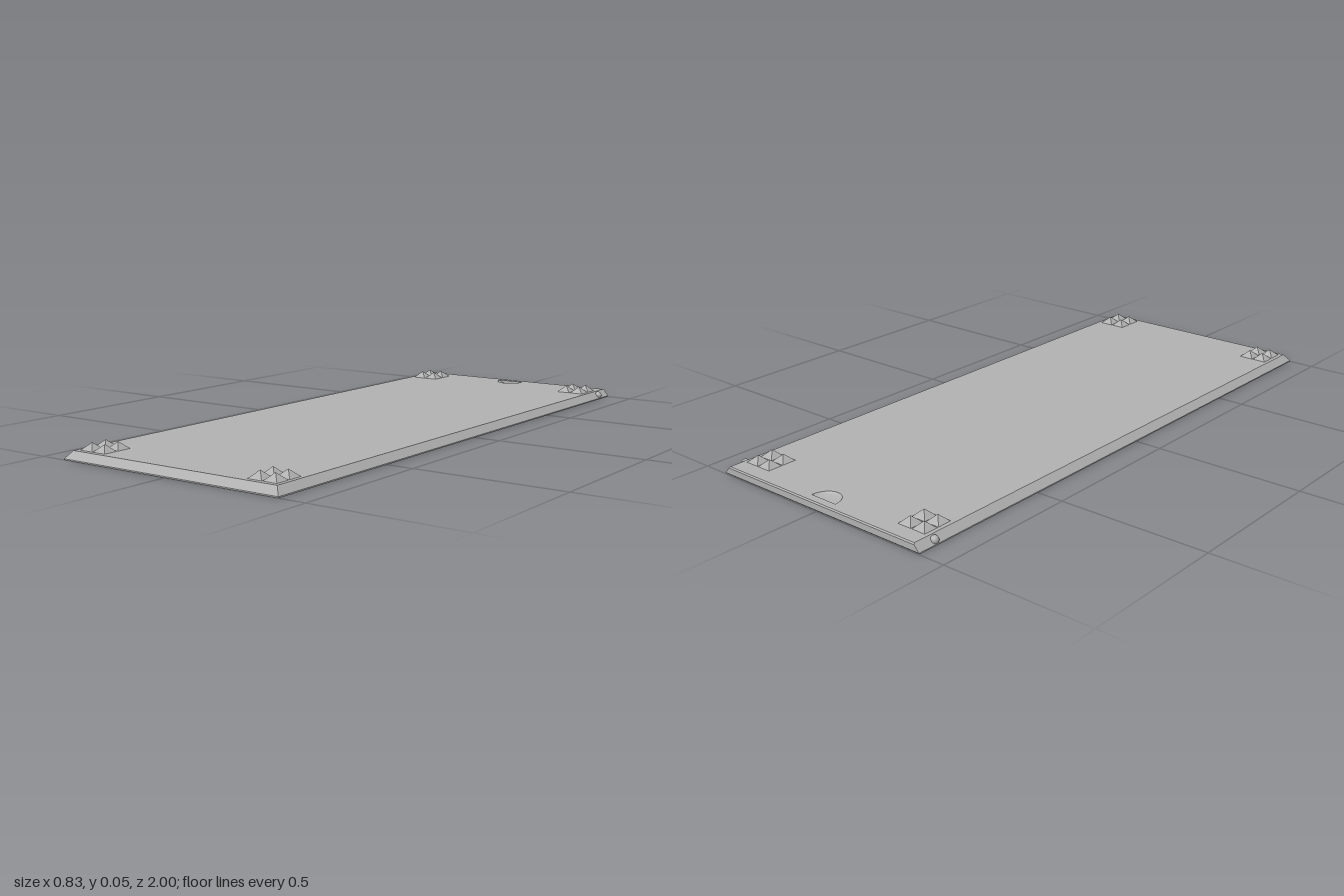
import * as THREE from 'three';
import { mergeGeometries } from 'three/addons/utils/BufferGeometryUtils.js';

const TOP = 0.028;

// Non-indexed copy with one normal per face
function faceted(geometry) {
  const g = geometry.index ? geometry.toNonIndexed() : geometry;
  g.computeVertexNormals();
  return g;
}

const path = pts => pts.map(([x, y]) => new THREE.Vector2(x, y));
const range = (n, fn) => Array.from({ length: n }, (_, i) => fn(i));

// Skin through rectangular rings [halfWidth, zFront, zBack, y], bottom to top
function rimGeometry(rings) {
  const corners = rings.map(([w, f, b, y]) => [[-w, y, f], [w, y, f], [w, y, b], [-w, y, b]]);
  const pos = [];
  for (let r = 0; r < rings.length - 1; r++) {
    for (let i = 0; i < 4; i++) {
      const j = (i + 1) % 4;
      const [a, b, c, d] = [corners[r][i], corners[r][j], corners[r + 1][j], corners[r + 1][i]];
      pos.push(...a, ...b, ...c, ...a, ...c, ...d);
    }
  }
  const g = new THREE.BufferGeometry();
  g.setAttribute('position', new THREE.Float32BufferAttribute(pos, 3));
  return faceted(g);
}

export function createModel() {
  const group = new THREE.Group();
  const grey = new THREE.MeshStandardMaterial({ color: 0xb0b0b0 });
  grey.name = 'grey';
  const add = (name, geometry, x = 0, y = 0, z = 0) => {
    const mesh = new THREE.Mesh(geometry, grey);
    mesh.name = name;
    mesh.position.set(x, y, z);
    group.add(mesh);
    return mesh;
  };

  // Bevelled rim: wide slope on the sides and front, small chamfers at the back
  add('rim', rimGeometry([
    [0.41, 1, -0.996, 0],
    [0.41, 1, -1, 0.004],
    [0.3933, 0.9833, -1, 0.024],
    [0.39, 0.98, -0.996, TOP],
  ]));

  // Top face with an opening for the finger notch
  const notch = { w: 0.05, l: 0.057, d: 0.012, z: -0.97, n: 16 };
  const top = new THREE.Shape(path([[-0.39, -0.98], [0.39, -0.98], [0.39, 0.996], [-0.39, 0.996]]));
  const arc = (ry, sign) => range(notch.n + 1, i => {
    const a = Math.PI * i / notch.n;
    return [notch.w * Math.cos(a), sign * ry * Math.sin(a)];
  });
  top.holes.push(new THREE.Path(path(arc(notch.l, -1).map(([x, y]) => [x, y - notch.z]))));
  add('topFace', new THREE.ShapeGeometry(top).rotateX(-Math.PI / 2), 0, TOP, 0);

  // Finger notch: scooped floor and upright wall
  const scoop = new THREE.SphereGeometry(1, notch.n, 6, 0, Math.PI, 0, Math.PI / 2);
  scoop.scale(notch.w, -notch.d, notch.l);
  scoop.computeVertexNormals();
  add('notchScoop', scoop, 0, TOP, notch.z);
  add('notchWall', new THREE.ShapeGeometry(new THREE.Shape(path(arc(notch.d, -1)))), 0, TOP, notch.z);

  // Underside with staggered blind six-sided pockets
  const radius = 0.034, depth = 0.015;
  const centres = [];
  for (let row = 0; row < 28; row++) {
    for (let col = 0; col < 5; col++) {
      centres.push([(row % 2 ? -0.21 : -0.27) + 0.12 * col, -0.815 + 0.0611 * row]);
    }
  }
  const bottom = new THREE.Shape(path([[-0.41, -0.996], [0.41, -0.996], [0.41, 1], [-0.41, 1]]));
  const pockets = [];
  for (const [x, z] of centres) {
    bottom.holes.push(new THREE.Path(path(range(6, i => {
      const a = -i * Math.PI / 3;
      return [x + radius * Math.sin(a), z + radius * Math.cos(a)];
    }))));
    const wall = new THREE.CylinderGeometry(radius, radius, depth, 6, 1, true);
    wall.scale(-1, 1, 1).translate(x, depth / 2, z);
    const roof = new THREE.CircleGeometry(radius, 6, Math.PI / 2).rotateX(Math.PI / 2);
    roof.translate(x, depth, z);
    pockets.push(faceted(wall), faceted(roof));
  }
  add('underside', new THREE.ShapeGeometry(bottom).rotateX(Math.PI / 2));
  add('pockets', mergeGeometries(pockets));

  // Two-by-two pyramid studs at each corner
  const stud = faceted(new THREE.ConeGeometry(0.035, 0.023, 4, 1, true).rotateY(Math.PI / 4));
  for (const side of [-1, 1]) {
    for (const x of [0.299, 0.352]) {
      for (const z of [-0.918, -0.864, 0.886, 0.94]) {
        add('pyramidStud', stud, side * x, TOP + 0.0115, z);
      }
    }
    // Round hinge pip near the back
    add('hingePip', new THREE.SphereGeometry(0.013, 20, 14), side * 0.401, 0.015, -0.93);
  }
  return group;
}
